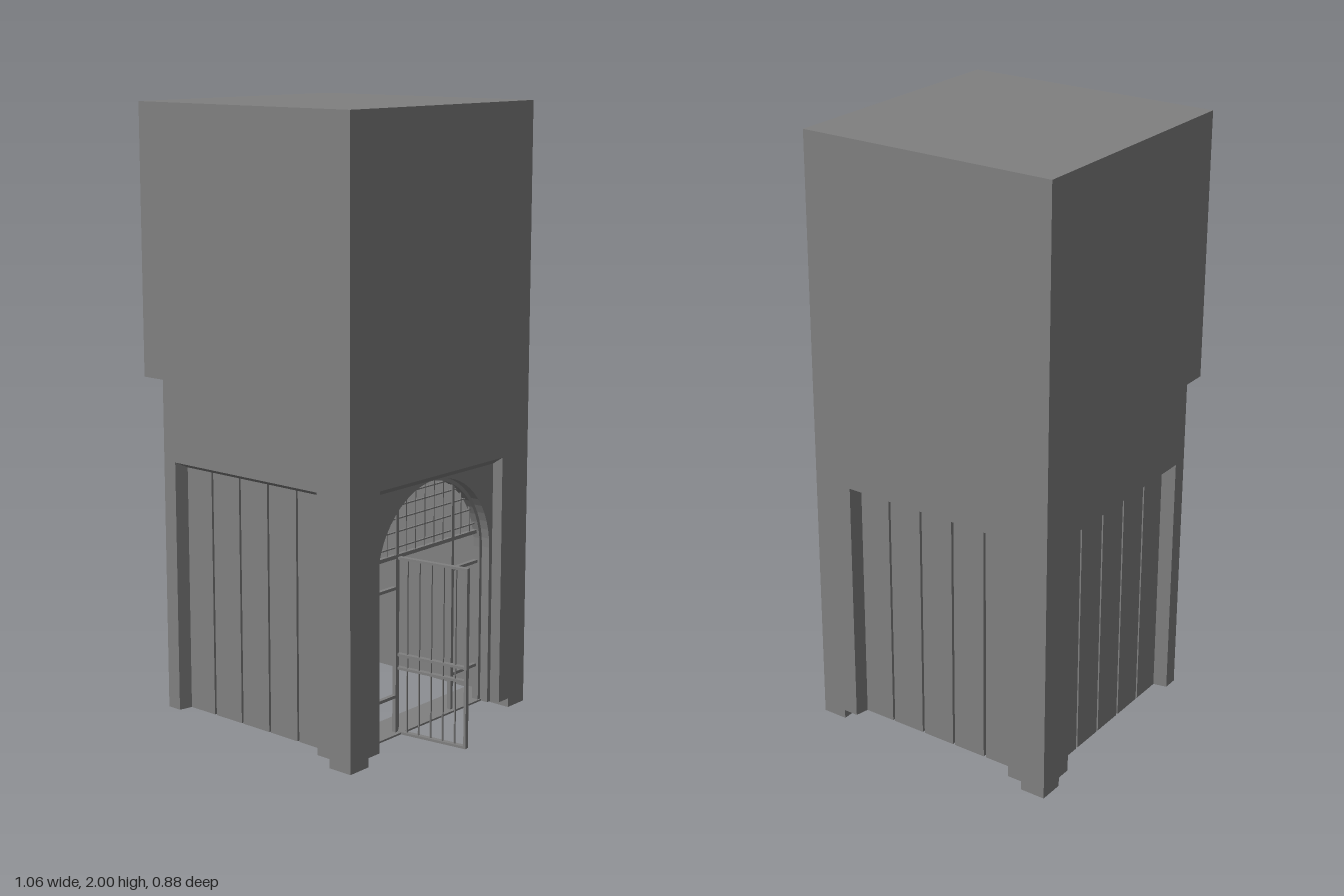
import * as THREE from 'three';

const CX = -0.09, HALF = 0.44, IN = 0.355;   // tower centre, outer and inner half width
const BASE = 0.03, TOP = 1.125;              // bottom and top of the lower storey walls
const OPEN = 0.305, HEAD = 0.862;            // half width and head height of each wall recess
const SPRING = 0.56, R = 0.28;               // arch spring line and radius

const stone = new THREE.MeshStandardMaterial({ color: 0x808080 });
stone.name = 'grey stone';

function add(parent, name, geometry) {
  const mesh = new THREE.Mesh(geometry, stone);
  mesh.name = name;
  parent.add(mesh);
  return mesh;
}

// Box given by its limits on each axis
function box(parent, name, x0, x1, y0, y1, z0, z1) {
  const g = new THREE.BoxGeometry(x1 - x0, y1 - y0, z1 - z0);
  g.translate((x0 + x1) / 2, (y0 + y1) / 2, (z0 + z1) / 2);
  return add(parent, name, g);
}

const polygon = pts => new THREE.Shape(pts.map(p => new THREE.Vector2(...p)));
const extrude = (shape, depth, curveSegments = 8) =>
  new THREE.ExtrudeGeometry(shape, { depth, bevelEnabled: false, curveSegments });

// Wall band with a square opening that reaches the floor
function wallWithOpening(parent) {
  const g = extrude(polygon([[-IN, BASE], [-OPEN, BASE], [-OPEN, HEAD], [OPEN, HEAD],
    [OPEN, BASE], [IN, BASE], [IN, TOP], [-IN, TOP]]), HALF - IN);
  g.translate(0, 0, IN);
  add(parent, 'wall', g);
}

// Sloping trim around the opening
function splayedTrim(parent, back) {
  const lintel = extrude(polygon([[-back, HEAD - 0.022], [-HALF, HEAD], [-back, HEAD]]), 2 * OPEN);
  lintel.rotateY(Math.PI / 2).translate(-OPEN, 0, 0);
  add(parent, 'lintelTrim', lintel);
  for (const s of [-1, 1]) {
    const jamb = extrude(polygon([[s * OPEN, -HALF], [s * (OPEN - 0.01), -back], [s * OPEN, -back]]), HEAD - BASE);
    jamb.rotateX(-Math.PI / 2).translate(0, BASE, 0);
    add(parent, 'jambTrim', jamb);
  }
}

// Recess filled with five upright boards
function panelWall(name, angle) {
  const wall = new THREE.Group();
  wall.name = name;
  wall.rotation.y = angle;
  wallWithOpening(wall);
  splayedTrim(wall, 0.395);
  box(wall, 'backing', -OPEN, OPEN, BASE, HEAD, IN, 0.38);
  const pitch = 2 * OPEN / 5, gap = 0.004;
  for (let i = 0; i < 5; i++) {
    const x = -OPEN + i * pitch;
    box(wall, 'board', x + gap, x + pitch - gap, BASE, HEAD, 0.38, 0.395);
  }
  return wall;
}

// Outline between a rectangle or larger arch and an inner arch, open at the floor
function archBand(outerR, innerR) {
  const s = new THREE.Shape();
  if (outerR) {
    s.moveTo(outerR, BASE);
    s.lineTo(outerR, SPRING);
    s.absarc(0, SPRING, outerR, 0, Math.PI, false);
    s.lineTo(-outerR, BASE);
  } else {
    s.moveTo(OPEN, BASE);
    s.lineTo(OPEN, HEAD);
    s.lineTo(-OPEN, HEAD);
    s.lineTo(-OPEN, BASE);
  }
  s.lineTo(-innerR, BASE);
  s.lineTo(-innerR, SPRING);
  s.absarc(0, SPRING, innerR, Math.PI, 0, true);
  s.lineTo(innerR, BASE);
  return s;
}

function doorWall() {
  const wall = new THREE.Group();
  wall.name = 'doorWall';
  wall.rotation.y = Math.PI / 2;
  wallWithOpening(wall);
  splayedTrim(wall, 0.41);
  add(wall, 'archSurround', extrude(archBand(0, R), 0.045, 14).translate(0, 0, 0.365));
  add(wall, 'archFrame', extrude(archBand(R, R - 0.012), 0.025, 14).translate(0, 0, 0.355));
  box(wall, 'threshold', -IN, IN, BASE, BASE + 0.006, 0.27, 0.385);

  // Fixed metalwork
  const z0 = 0.357, z1 = 0.371, r = R - 0.006;
  const reach = d => Math.sqrt(Math.max(0, r * r - d * d));
  for (const s of [-1, 1]) {
    const m = s * 0.139;
    box(wall, 'mullion', m - 0.006, m + 0.006, BASE, SPRING + reach(0.139), z0, z1);
    const [a, b] = s > 0 ? [0.139, r] : [-r, -0.139];
    for (const y of [0.155, 0.51]) box(wall, 'sideBar', a, b, y - 0.005, y + 0.005, z0, z1);
  }
  const w = reach(0.05);
  box(wall, 'transom', -w, w, 0.606, 0.618, z0, z1);
  for (const y of [0.64, 0.69, 0.732, 0.773, 0.808]) {
    const h = reach(y - SPRING);
    box(wall, 'fanlightBar', -h, h, y - 0.002, y + 0.002, z0 + 0.004, z1 - 0.004);
  }
  for (let i = -5; i <= 5; i++) {
    const x = i * 0.046, top = SPRING + reach(x);
    if (top > 0.62) box(wall, 'fanlightUpright', x - 0.002, x + 0.002, 0.612, top, z0 + 0.004, z1 - 0.004);
  }
  return wall;
}

// Open glazed leaf swung outward
function doorLeaf() {
  const leaf = new THREE.Group();
  leaf.name = 'doorLeaf';
  leaf.position.set(0.268, 0, 0.131);
  leaf.rotation.y = 0.138;
  const W = 0.262, t = 0.008;
  for (const x of [0.004, W - 0.004]) box(leaf, 'stile', x - 0.004, x + 0.004, BASE, 0.61, -t, t);
  for (const y of [0.034, 0.247, 0.291, 0.606]) box(leaf, 'rail', 0, W, y - 0.004, y + 0.004, -t, t);
  for (let i = 1; i < 6; i++) {
    const x = i * W / 6;
    box(leaf, 'glazingBar', x - 0.0018, x + 0.0018, BASE, 0.606, -0.003, 0.003);
  }
  return leaf;
}

export function createModel() {
  const model = new THREE.Group();
  model.name = 'cornerTower';
  const tower = new THREE.Group();
  tower.name = 'tower';
  tower.position.x = CX;
  model.add(tower);

  box(tower, 'upperBlock', -HALF, HALF, TOP, 2, -HALF, HALF);

  // Corner posts stand on three corners; the front right corner is left open
  for (const [sx, sz] of [[1, 1], [1, -1], [-1, -1]]) {
    const x = sx * (HALF + IN) / 2, z = sz * (HALF + IN) / 2, h = (HALF - IN) / 2;
    box(tower, 'cornerPost', x - h, x + h, 0, TOP, z - h, z + h);
  }

  tower.add(panelWall('frontWall', 0), panelWall('backWall', Math.PI),
    panelWall('rightWall', -Math.PI / 2), doorWall());
  model.add(doorLeaf());
  return model;
}
